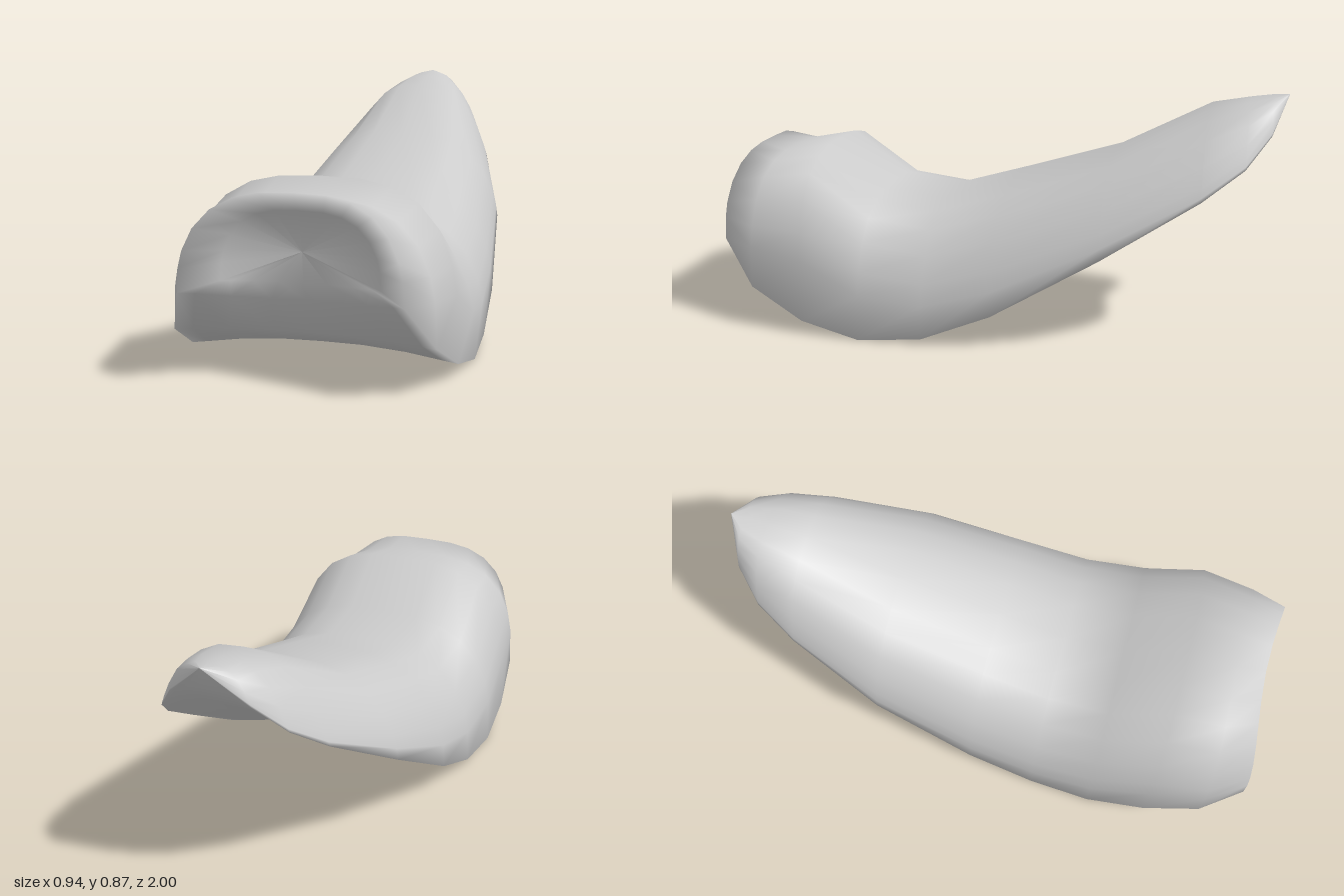
import * as THREE from 'three';

// Sample positions across each half, 0 at the middle and 1 at the edge
const OVER = [0, 0.3, 0.52, 0.71, 0.86, 0.95, 0.985, 1];
// Underside, from the edge back to the middle: [across, share of the lift]
const UNDER = [[0.88, 0.2], [0.62, 0.65], [0.3, 0.95], [0, 1]];

// Cross-sections from front to back:
// [z, half width, bottom, top, roundness, setback of crown, setback of underside, lift of underside]
// Low roundness gives a boxy dome, high roundness a pointed one
const SECTIONS = [
  [0.86, 0, 0.43, 0.43, 0.4, 0, 0, 0],               // middle of the scooped front
  [0.89, 0.26, 0.33, 0.565, 0.45, 0, 0.04, 0],       // scoop
  [1.0, 0.36, 0.31, 0.63, 0.45, 0.05, 0.17, -0.04],  // front rim
  [0.87, 0.43, 0.155, 0.605, 0.36, 0.02, 0.11, -0.01],
  [0.67, 0.458, 0.05, 0.64, 0.31, 0, 0, 0.04],       // hump
  [0.45, 0.47, 0.0, 0.485, 0.35, 0, 0, 0.055],       // saddle
  [0.22, 0.46, 0.02, 0.46, 0.42, 0, 0, 0.05],
  [-0.03, 0.445, 0.12, 0.535, 0.5, 0, 0, 0.06],
  [-0.4, 0.4, 0.335, 0.65, 0.65, 0, 0, 0.07],
  [-0.73, 0.295, 0.535, 0.825, 0.95, 0, 0, 0.075],
  [-0.87, 0.225, 0.64, 0.852, 0.95, 0, 0, 0.06],
  [-0.95, 0.14, 0.745, 0.865, 0.9, 0, 0, 0.035],
  [-1.0, 0, 0.87, 0.87, 1, 0, 0, 0],                 // raised tip
];

function ring([z, w, bottom, top, roundness, backTop, backUnder, lift]) {
  const dome = (u) => bottom + (top - bottom) * (1 - u ** 3) ** roundness;
  const half = [
    ...OVER.map((u) => [u * w, dome(u), z - backTop * (1 - u * u)]),
    ...UNDER.map(([u, k]) => [u * w, bottom + k * lift, z - backUnder * (1 - u * u)]),
  ];
  // Mirror to the other side, leaving out the two middle points
  const mirrored = half.slice(1, -1).reverse().map(([x, y, d]) => [-x, y, d]);
  return [...half, ...mirrored];
}

function loft(rings) {
  const n = rings[0].length;
  const index = [];
  for (let i = 0; i < rings.length - 1; i++) {
    for (let j = 0; j < n; j++) {
      const k = (j + 1) % n;
      const a = i * n + j, b = i * n + k, c = a + n, d = b + n;
      // The end rings are single points, so they take one triangle per side
      if (i === 0) index.push(b, d, c);
      else if (i === rings.length - 2) index.push(a, b, c);
      else index.push(a, b, c, b, d, c);
    }
  }
  const geometry = new THREE.BufferGeometry();
  geometry.setAttribute('position', new THREE.Float32BufferAttribute(rings.flat(2), 3));
  geometry.setIndex(index);
  geometry.computeVertexNormals();
  return geometry;
}

export function createModel() {
  const group = new THREE.Group();
  group.name = 'curvedShell';
  const material = new THREE.MeshStandardMaterial({ color: 0xcccccc });
  const body = new THREE.Mesh(loft(SECTIONS.map(ring)), material);
  body.name = 'body';
  group.add(body);
  return group;
}
